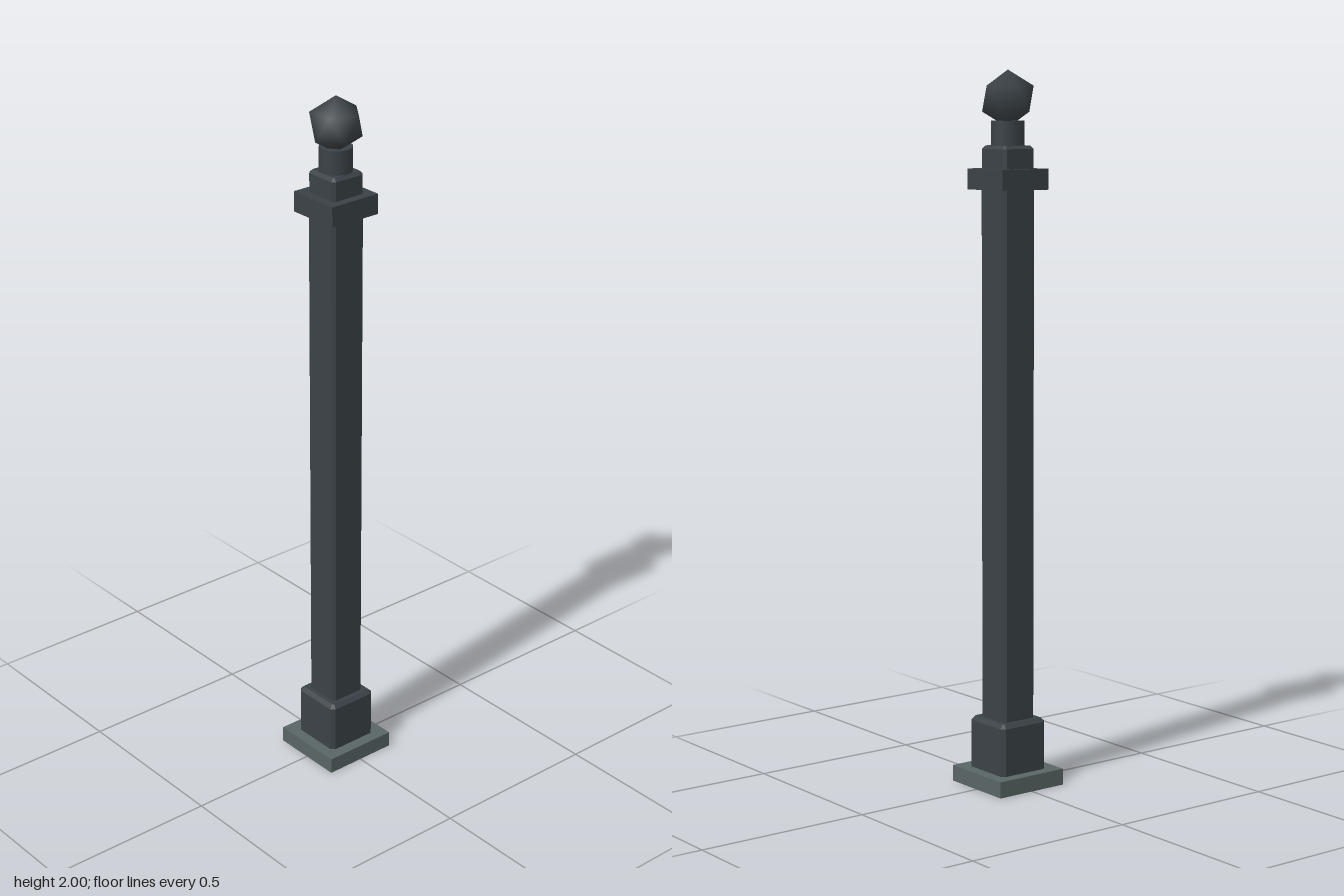
import * as THREE from 'three';
import { mergeVertices } from 'three/addons/utils/BufferGeometryUtils.js';

export function createModel() {
  const group = new THREE.Group();
  const iron = new THREE.MeshStandardMaterial({ name: 'darkIron', color: 0x3b4247 });
  const stone = new THREE.MeshStandardMaterial({ name: 'greyStone', color: 0x5a6566 });

  const add = (name, geometry, material, y = 0) => {
    const mesh = new THREE.Mesh(geometry, material);
    mesh.name = name;
    mesh.position.y = y;
    group.add(mesh);
  };

  // Plain square block between two heights
  const block = (name, half, y0, y1, material) =>
    add(name, new THREE.BoxGeometry(half * 2, y1 - y0, half * 2), material, (y0 + y1) / 2);

  // Square block with chamfered corners and ends; its lower chamfer sinks into the part below
  const chamferedBlock = (name, h, y0, y1, c) => {
    const k = h - c;
    const outline = [[h, -k], [h, k], [k, h], [-k, h], [-h, k], [-h, -k], [-k, -h], [k, -h]];
    const shape = new THREE.Shape(outline.map(([x, y]) => new THREE.Vector2(x, y)));
    const geometry = new THREE.ExtrudeGeometry(shape, {
      depth: y1 - y0 - c, bevelEnabled: true, bevelSegments: 1,
      bevelSize: c, bevelThickness: c, bevelOffset: -c,
    });
    geometry.rotateX(-Math.PI / 2);
    add(name, geometry, iron, y0);
  };

  block('basePlate', 0.111, 0, 0.046, stone);
  chamferedBlock('pedestal', 0.078, 0.046, 0.193, 0.011);
  chamferedBlock('shaft', 0.055, 0.18, 1.69, 0.009);
  block('collar', 0.079, 1.675, 1.732, iron);
  chamferedBlock('cap', 0.054, 1.732, 1.795, 0.009);
  add('neck', new THREE.CylinderGeometry(0.046, 0.046, 0.08, 12), iron, 1.822);

  // Smooth-shaded twenty-sided finial, standing on one point
  const raw = new THREE.IcosahedronGeometry(0.0785, 0);
  raw.deleteAttribute('normal');
  raw.deleteAttribute('uv');
  const ball = mergeVertices(raw, 1e-4);
  ball.rotateZ(-Math.atan(2 / (1 + Math.sqrt(5))));
  ball.computeVertexNormals();
  add('finial', ball, iron, 1.9215);

  return group;
}
